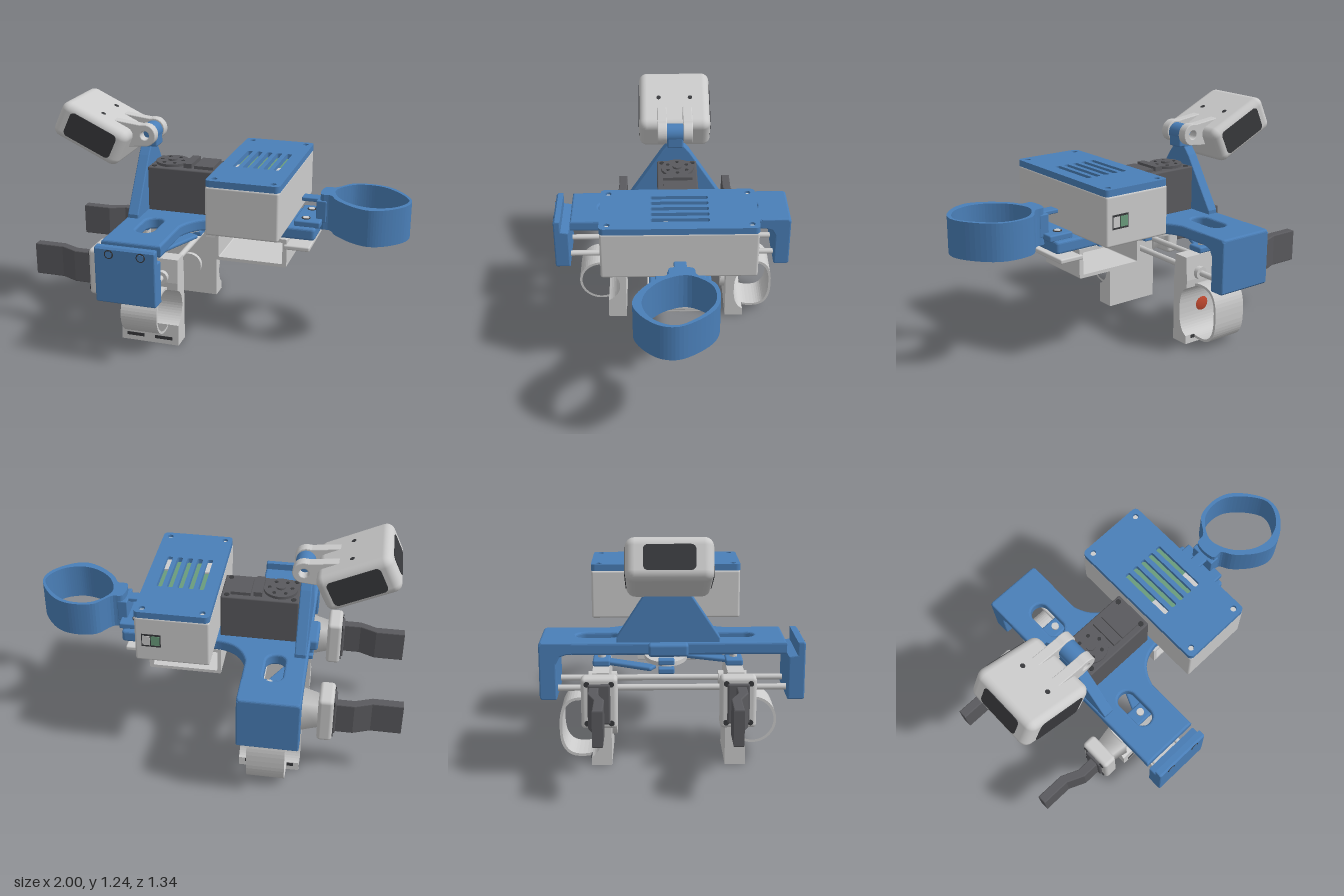
import * as THREE from 'three';
import { RoundedBoxGeometry } from 'three/addons/geometries/RoundedBoxGeometry.js';

const mat = (color) => new THREE.MeshStandardMaterial({ color });
const GREY = mat(0xcccccc), BLUE = mat(0x4a7fb8), DARK = mat(0x5a5a5e);
const BLACK = mat(0x38393c), GREEN = mat(0x6a9c7c), RED = mat(0xc0492f);

export function createModel() {
  const root = new THREE.Group();
  let parent = root;
  const add = (name, geo, m) => {
    const mesh = new THREE.Mesh(geo, m);
    mesh.name = name;
    parent.add(mesh);
    return mesh;
  };
  // box given by its limits on each axis
  const box = (name, m, x0, x1, y0, y1, z0, z1, r = 0) => {
    const s = [x1 - x0, y1 - y0, z1 - z0];
    const g = r ? new RoundedBoxGeometry(...s, 3, r) : new THREE.BoxGeometry(...s);
    g.translate((x0 + x1) / 2, (y0 + y1) / 2, (z0 + z1) / 2);
    return add(name, g, m);
  };
  const cyl = (name, m, r, h, x, y, z, axis = 'y', n = 32) => {
    const g = new THREE.CylinderGeometry(r, r, h, n);
    if (axis === 'x') g.rotateZ(Math.PI / 2);
    if (axis === 'z') g.rotateX(Math.PI / 2);
    return add(name, g.translate(x, y, z), m);
  };
  const poly = (pts) => new THREE.Shape(pts.map((p) => new THREE.Vector2(...p)));
  const smooth = (pts) => new THREE.Shape(
    new THREE.CatmullRomCurve3(pts.map(([x, y]) => new THREE.Vector3(x, y, 0)), true)
      .getPoints(72).slice(0, -1).map((p) => new THREE.Vector2(p.x, p.y)));
  const extrude = (shape, depth, bevel = 0) => new THREE.ExtrudeGeometry(shape, {
    depth: depth - 2 * bevel, bevelEnabled: bevel > 0, bevelSize: bevel, bevelOffset: -bevel,
    bevelThickness: bevel, bevelSegments: 3, curveSegments: 24,
  }).translate(0, 0, bevel);
  // outline in (x, z), reaching down from yTop
  const plate = (name, m, shape, yTop, depth, bevel) =>
    add(name, extrude(shape, depth, bevel).rotateX(Math.PI / 2).translate(0, yTop, 0), m);
  // outline in (-z, y), reaching from x0 towards +x
  const side = (name, m, shape, x0, depth, bevel) =>
    add(name, extrude(shape, depth, bevel).rotateY(Math.PI / 2).translate(x0, 0, 0), m);
  const roundRect = (x0, x1, y0, y1, r, S = THREE.Shape) => {
    const s = new S();
    s.absarc(x1 - r, y0 + r, r, -Math.PI / 2, 0);
    s.absarc(x1 - r, y1 - r, r, 0, Math.PI / 2);
    s.absarc(x0 + r, y1 - r, r, Math.PI / 2, Math.PI);
    s.absarc(x0 + r, y0 + r, r, Math.PI, Math.PI * 1.5);
    s.closePath();
    return s;
  };
  const circleHole = (x, y, r) => new THREE.Path().absarc(x, y, r, 0, Math.PI * 2);

  // T-shaped base plate with two slots
  const base = new THREE.Shape();
  base.moveTo(-0.49, -0.65);
  base.quadraticCurveTo(-0.49, -0.67, -0.47, -0.67);
  base.lineTo(-0.19, -0.67);
  base.quadraticCurveTo(-0.17, -0.67, -0.17, -0.65);
  base.lineTo(-0.17, -0.34);
  base.quadraticCurveTo(-0.13, -0.2, 0, -0.19);
  base.lineTo(0.5, -0.19);
  base.quadraticCurveTo(0.52, -0.19, 0.52, -0.17);
  base.lineTo(0.52, 0.11);
  base.quadraticCurveTo(0.52, 0.13, 0.5, 0.13);
  base.lineTo(0, 0.13);
  base.quadraticCurveTo(-0.13, 0.14, -0.17, 0.28);
  base.lineTo(-0.17, 0.575);
  base.lineTo(-0.49, 0.575);
  base.closePath();
  base.holes.push(roundRect(-0.378, -0.278, -0.49, -0.27, 0.049, THREE.Path),
    roundRect(-0.378, -0.278, 0.2, 0.42, 0.049, THREE.Path));
  plate('basePlate', BLUE, base, 0.66, 0.065, 0.012);
  box('baseFrontTab', BLUE, -0.53, -0.45, 0.595, 0.66, -0.12, 0.08, 0.015);

  // end plates that carry the rods
  side('fixedEndPlate', BLUE, poly([[0.5, 0.597], [0.53, 0.597], [0.565, 0.585], [0.583, 0.55], [0.583, 0.365],
    [0.59, 0.36], [0.66, 0.36], [0.67, 0.37], [0.67, 0.645], [0.655, 0.66], [0.5, 0.66]]), -0.49, 0.32, 0.008);
  side('removableEndPlate', BLUE, poly([[-0.67, 0.365], [-0.662, 0.358], [-0.585, 0.358], [-0.585, 0.585],
    [-0.63, 0.592], [-0.63, 0.66], [-0.66, 0.66], [-0.67, 0.65]]), -0.49, 0.325, 0.008);
  for (const x of [-0.41, -0.24]) {
    cyl('endPlateScrew', BLACK, 0.024, 0.004, x, 0.625, 0.67, 'z');
    cyl('endPlateScrewHead', BLUE, 0.018, 0.008, x, 0.625, 0.67, 'z');
    cyl('guideRod', GREY, 0.016, 1.18, x, 0.402, 0, 'z');
  }

  // sliding finger holders with loops and side clips
  const holders = [
    { z: 0.322, s: 1, c: 0.415, ry: 0.125, rz: 0.125, y: 0.225, pad: [0.295, 0.335] },
    { z: -0.362, s: -1, c: 0.463, ry: 0.16, rz: 0.118, y: 0.19, pad: [-0.353, -0.387] },
  ];
  for (const { z, s, c, ry, rz, y, pad } of holders) {
    parent = new THREE.Group();
    parent.name = s > 0 ? 'frontFingerHolder' : 'backFingerHolder';
    root.add(parent);
    const t = 0.014, a = rz - t, b = ry - t;
    const outZ = s > 0 ? 0.375 : 0.415, inZ = s > 0 ? 0.27 : 0.31;
    const loopAt = (ang, p, q) => {
      const k = s > 0 ? 1 : 0.75; // squarer loop on the second holder
      const cs = Math.cos(ang), sn = Math.sin(ang);
      return [-s * (c + p * Math.sign(cs) * Math.abs(cs) ** k), y + q * Math.sign(sn) * Math.abs(sn) ** k];
    };
    const loop = (p, q) => Array.from({ length: 48 }, (_, i) => loopAt(i / 48 * Math.PI * 2, p, q));
    // body block with the loop opening cut from its outer edge
    const cut = loop(a, b).filter((p) => Math.abs(p[0]) < outZ).sort((p, q) => p[1] - q[1]);
    side('holderBody', GREY, poly([[-s * inZ, 0.005], [-s * outZ, 0.005], ...cut,
      [-s * outZ, 0.37], [-s * (outZ - 0.01), 0.5], [-s * (inZ + 0.01), 0.5], [-s * inZ, 0.37]]), -0.48, 0.325);
    const ring = poly(loop(rz, ry));
    ring.holes.push(poly(loop(a, b)));
    side('fingerLoop', GREY, ring, -0.415, 0.2);
    for (const x of [-0.4, -0.24]) {
      box('strapSlot', BLACK, x - 0.05, x + 0.05, 0.032, 0.05, s * outZ - 0.002, s * outZ + 0.002);
      cyl('rodBushing', GREY, 0.035, 0.15, x, 0.402, z, 'z');
    }
    // clip with flange, neck and bent dark pad
    box('clipFlange', GREY, -0.645, -0.565, 0.262, 0.525, z - 0.09, z + 0.09, 0.02);
    const neck = new THREE.CylinderGeometry(0.1, 0.13, 0.1, 4, 1).rotateY(Math.PI / 4).scale(1, 1, 0.75);
    add('clipNeck', neck.rotateZ(Math.PI / 2).translate(-0.52, 0.395, z), GREY);
    for (const dy of [-0.1, 0.1]) for (const dz of [-0.06, 0.06])
      cyl('flangeBolt', BLACK, 0.014, 0.01, -0.645, 0.393 + dy, z + dz, 'x', 16);
    const [o, i] = pad, h = 0.025;
    plate('dragPad', DARK, poly([[-1, o - h], [-0.84, o - h], [-0.75, i - h], [-0.64, i - h],
      [-0.64, i + h], [-0.75, i + h], [-0.84, o + h], [-1, o + h]]), 0.482, 0.18, 0.006);
    box('padSocket', DARK, -0.66, -0.63, 0.29, 0.495, z - 0.055, z + 0.055, 0.01);
    // pushrod joint
    box('linkMount', BLUE, -0.37, -0.25, 0.5, 0.535, z - 0.045, z + 0.045, 0.01);
    const end = [-0.3, z], hub = [-0.31 + s * 0.12, -0.03 + s * 0.09];
    const len = Math.hypot(end[0] - hub[0], end[1] - hub[1]);
    const link = add('link', new RoundedBoxGeometry(0.07, 0.022, len + 0.06, 2, 0.01), BLUE);
    link.position.set((end[0] + hub[0]) / 2, 0.515, (end[1] + hub[1]) / 2);
    link.rotation.y = Math.atan2(end[0] - hub[0], end[1] - hub[1]);
    cyl('linkPin', GREY, 0.02, 0.06, end[0], 0.52, z);
  }
  // red sensor dome inside the back loop
  cyl('sensorHousing', GREY, 0.07, 0.06, -0.315, 0.19, -0.315, 'z');
  add('sensorDome', new THREE.SphereGeometry(0.055, 24, 16).scale(1, 1, 0.4).translate(-0.315, 0.19, -0.345), RED);
  parent = root;

  // drive motor, its output gear and the horn under the plate
  box('motorBody', DARK, -0.42, -0.01, 0.655, 0.905, -0.14, 0.082, 0.008);
  cyl('motorDisc', DARK, 0.09, 0.03, -0.315, 0.905, -0.03);
  cyl('motorHub', DARK, 0.025, 0.05, -0.315, 0.905, -0.03);
  for (let k = 0; k < 6; k++)
    cyl('discHole', BLACK, 0.01, 0.004, -0.315 + 0.06 * Math.cos(k * 1.047), 0.92, -0.03 + 0.06 * Math.sin(k * 1.047), 'y', 12);
  box('motorConnector', DARK, -0.225, -0.18, 0.9, 0.93, -0.11, 0.05);
  box('motorCover', DARK, -0.165, -0.06, 0.9, 0.922, -0.11, 0.05);
  for (const x of [-0.39, -0.04]) for (const z of [-0.115, 0.055])
    cyl('motorScrew', BLACK, 0.014, 0.006, x, 0.905, z, 'y', 16);
  const horn = new THREE.Shape().absellipse(-0.31, -0.03, 0.17, 0.11, 0, Math.PI * 2);
  for (let k = 0; k < 6; k++)
    horn.holes.push(circleHole(-0.31 + 0.11 * Math.cos(k * 1.047), -0.03 + 0.07 * Math.sin(k * 1.047), 0.018));
  plate('motorHorn', GREY, horn, 0.555, 0.022);
  cyl('hornShaft', DARK, 0.05, 0.07, -0.31, 0.58, -0.03);
  for (const x of [-0.48, -0.17]) for (const y of [0.515, 0.56])
    box('linkStop', BLUE, x - 0.025, x + 0.025, y - 0.014, y + 0.014, -0.07, 0.01, 0.006);

  // electronics box with slotted lid
  box('electronicsBox', GREY, 0, 0.385, 0.665, 0.928, -0.428, 0.378, 0.012);
  box('circuitBoard', GREEN, 0.04, 0.345, 0.92, 0.934, -0.2, 0.14);
  const lid = roundRect(0, 0.388, -0.43, 0.38, 0.025);
  for (let k = 0; k < 5; k++)
    lid.holes.push(roundRect(0.07 + k * 0.055, 0.1 + k * 0.055, -0.18, 0.12, 0.01, THREE.Path));
  for (const x of [0.04, 0.348]) for (const z of [-0.39, 0.34]) {
    lid.holes.push(circleHole(x, z, 0.016));
    cyl('lidScrew', GREY, 0.014, 0.02, x, 0.94, z, 'y', 16);
  }
  plate('lid', BLUE, lid, 0.962, 0.035);
  for (const x of [0.085, 0.305]) box('boardChip', GREY, x - 0.014, x + 0.014, 0.93, 0.944, 0.02, 0.12);
  box('portRecess', BLACK, 0.25, 0.35, 0.755, 0.83, -0.43, -0.42);
  box('portBoard', GREEN, 0.255, 0.3, 0.765, 0.82, -0.432, -0.42);
  box('port', GREY, 0.305, 0.345, 0.765, 0.82, -0.432, -0.42);

  // open tray below the plate
  const tray = roundRect(-0.02, 0.375, 0.432, 0.592, 0.008);
  tray.holes.push(roundRect(0, 0.352, 0.45, 0.572, 0.005, THREE.Path));
  add('tray', extrude(tray, 0.32).translate(0, 0, -0.18), GREY);
  box('trayTab', GREY, 0.36, 0.5, 0.54, 0.566, -0.195, 0.155, 0.008);
  add('trayMount', extrude(poly([[0.1, 0.635], [0.14, 0.59], [0.26, 0.59], [0.29, 0.635]]), 0.36)
    .translate(0, 0, -0.2), BLUE);

  // wrist ring and its bracket
  const ringShape = smooth([[0.53, -0.09], [0.585, -0.105], [0.655, -0.19], [0.72, -0.21], [0.8, -0.208], [0.87, -0.18],
    [0.955, -0.09], [0.997, 0], [0.985, 0.08], [0.93, 0.15], [0.86, 0.197], [0.8, 0.208], [0.72, 0.178], [0.62, 0.095], [0.58, 0.035], [0.53, 0.03]]);
  ringShape.holes.push(smooth([[0.592, -0.06], [0.66, -0.165], [0.72, -0.19], [0.8, -0.188], [0.86, -0.16],
    [0.945, -0.075], [0.983, 0], [0.97, 0.06], [0.92, 0.125], [0.86, 0.155], [0.8, 0.163], [0.72, 0.14], [0.63, 0.06]]));
  plate('wristRing', BLUE, ringShape, 0.825, 0.195);
  box('ringBracket', BLUE, 0.505, 0.56, 0.67, 0.79, -0.1, 0.04, 0.006);
  box('ringClip', BLUE, 0.42, 0.53, 0.768, 0.79, -0.06, 0.005, 0.006);
  box('ringFoot', BLUE, 0.4, 0.54, 0.655, 0.69, -0.16, 0.1, 0.008);
  for (const z of [-0.1, 0.045]) {
    cyl('ringScrewSeat', BLACK, 0.024, 0.006, 0.455, 0.689, z);
    cyl('ringScrew', GREY, 0.017, 0.012, 0.455, 0.689, z);
  }

  // triangular camera mast
  side('mast', BLUE, poly([[-0.24, 0.65], [0.28, 0.65], [0.28, 0.68], [0.1, 0.96], [0.066, 1.0], [0.066, 1.06],
    [-0.024, 1.06], [-0.024, 1.0], [-0.055, 0.96], [-0.24, 0.68]]), -0.48, 0.06, 0.006);
  box('mastHead', BLUE, -0.49, -0.385, 1.0, 1.075, -0.066, 0.024, 0.01);
  cyl('mastKnuckle', BLUE, 0.052, 0.09, -0.435, 1.072, -0.021, 'z');

  // tilted camera
  parent = new THREE.Group();
  parent.name = 'camera';
  parent.position.set(-0.715, 1.085, -0.021);
  parent.rotation.z = -25 * Math.PI / 180;
  root.add(parent);
  box('cameraBody', GREY, -0.202, 0.202, -0.103, 0.103, -0.203, 0.203, 0.045);
  const win = roundRect(-0.135, 0.15, -0.07, 0.07, 0.025);
  add('sideWindow', extrude(win, 0.41).translate(0, 0, -0.205), BLACK);
  side('endWindow', BLACK, roundRect(-0.12, 0.12, -0.06, 0.06, 0.025), -0.205, 0.05);
  for (const z of [-0.09, 0.09]) cyl('cameraScrew', BLACK, 0.013, 0.006, 0.0, 0.102, z, 'y', 16);
  const ear = new THREE.Shape();
  ear.moveTo(0.06, 0.1);
  ear.lineTo(0.21, 0.15);
  ear.absarc(0.258, 0.109, 0.06, 2.2, -0.9, true);
  ear.lineTo(0.19, 0.0);
  ear.lineTo(0.1, 0.0);
  ear.closePath();
  ear.holes.push(circleHole(0.258, 0.109, 0.024));
  for (const z of [0.045, -0.099]) add('hingeEar', extrude(ear, 0.054, 0.005).translate(0, 0, z), GREY);
  return root;
}
